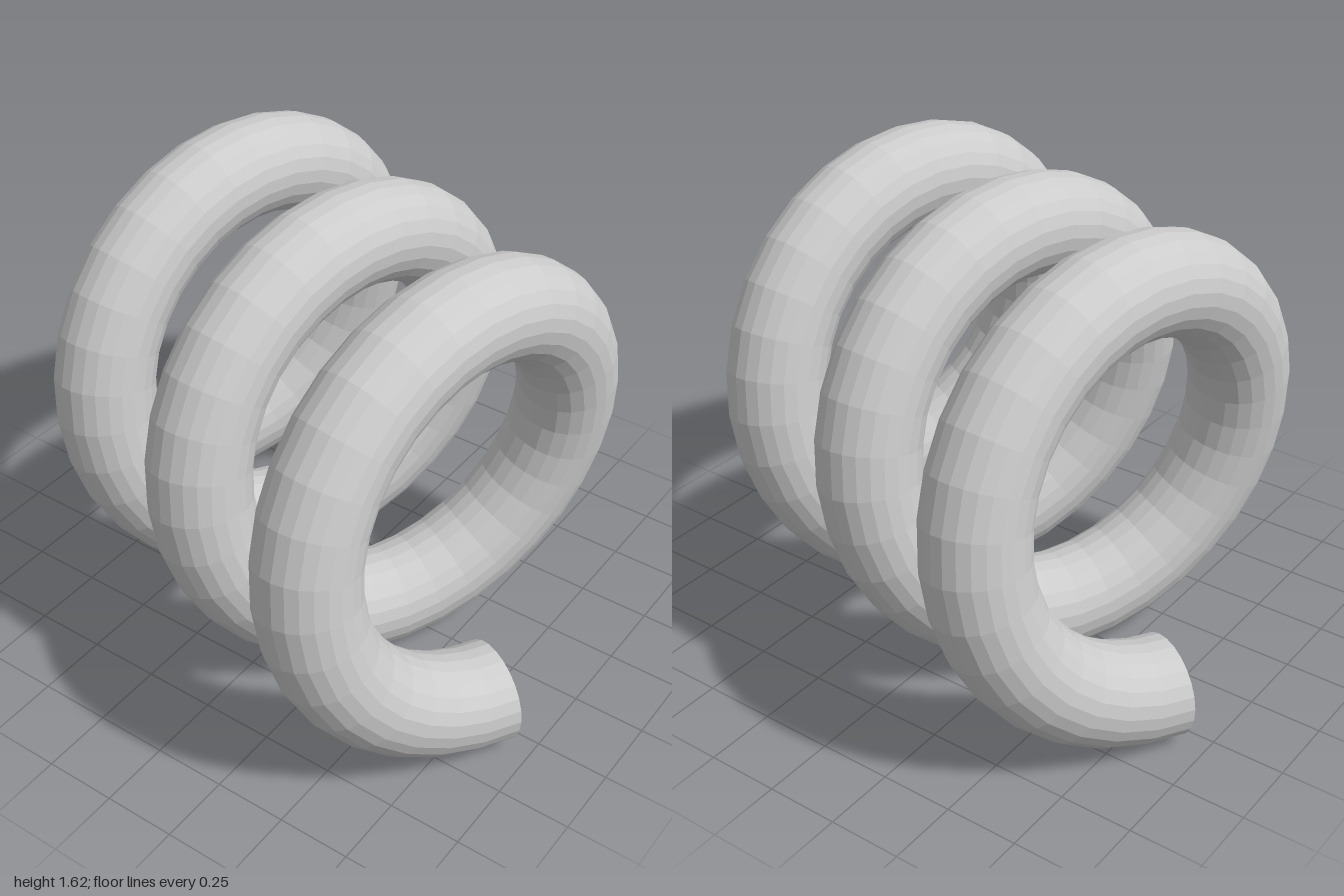
import * as THREE from 'three';

const TURNS = 3, COIL_RADIUS = 0.64, WIRE_RADIUS = 0.17, PITCH = 0.578;
const YAW = 0.315; // the coil axis is turned about y
const SIDES = 24, STEPS_PER_TURN = 32;

// Helix starting at the bottom, running from front to back
class Helix extends THREE.Curve {
  getPoint(t, target = new THREE.Vector3()) {
    const angle = t * TURNS * Math.PI * 2;
    const across = -COIL_RADIUS * Math.sin(angle);
    const along = (t - 0.5) * TURNS * PITCH;
    const c = Math.cos(YAW), s = Math.sin(YAW);
    return target.set(
      across * c + along * s,
      WIRE_RADIUS + COIL_RADIUS * (1 - Math.cos(angle)),
      across * s - along * c
    );
  }
}

export function createModel() {
  const group = new THREE.Group();
  group.name = 'coilSpring';
  const material = new THREE.MeshStandardMaterial({ color: 0xcccccc, flatShading: true });

  // Coiled wire
  const path = new Helix();
  const tube = new THREE.TubeGeometry(path, TURNS * STEPS_PER_TURN, WIRE_RADIUS, SIDES, false);
  const wire = new THREE.Mesh(tube, material);
  wire.name = 'coiledWire';
  group.add(wire);

  // Flat cut ends, aligned with the first and last rings of the wire
  const addCap = (name, t, index, sign) => {
    const cap = new THREE.Mesh(new THREE.CircleGeometry(WIRE_RADIUS, SIDES), material);
    const basis = new THREE.Matrix4().makeBasis(
      tube.normals[index],
      tube.binormals[index].clone().multiplyScalar(sign),
      tube.tangents[index].clone().multiplyScalar(sign)
    );
    cap.quaternion.setFromRotationMatrix(basis);
    cap.position.copy(path.getPoint(t));
    cap.name = name;
    group.add(cap);
  };
  addCap('frontEnd', 0, 0, -1);
  addCap('backEnd', 1, TURNS * STEPS_PER_TURN, 1);

  return group;
}
